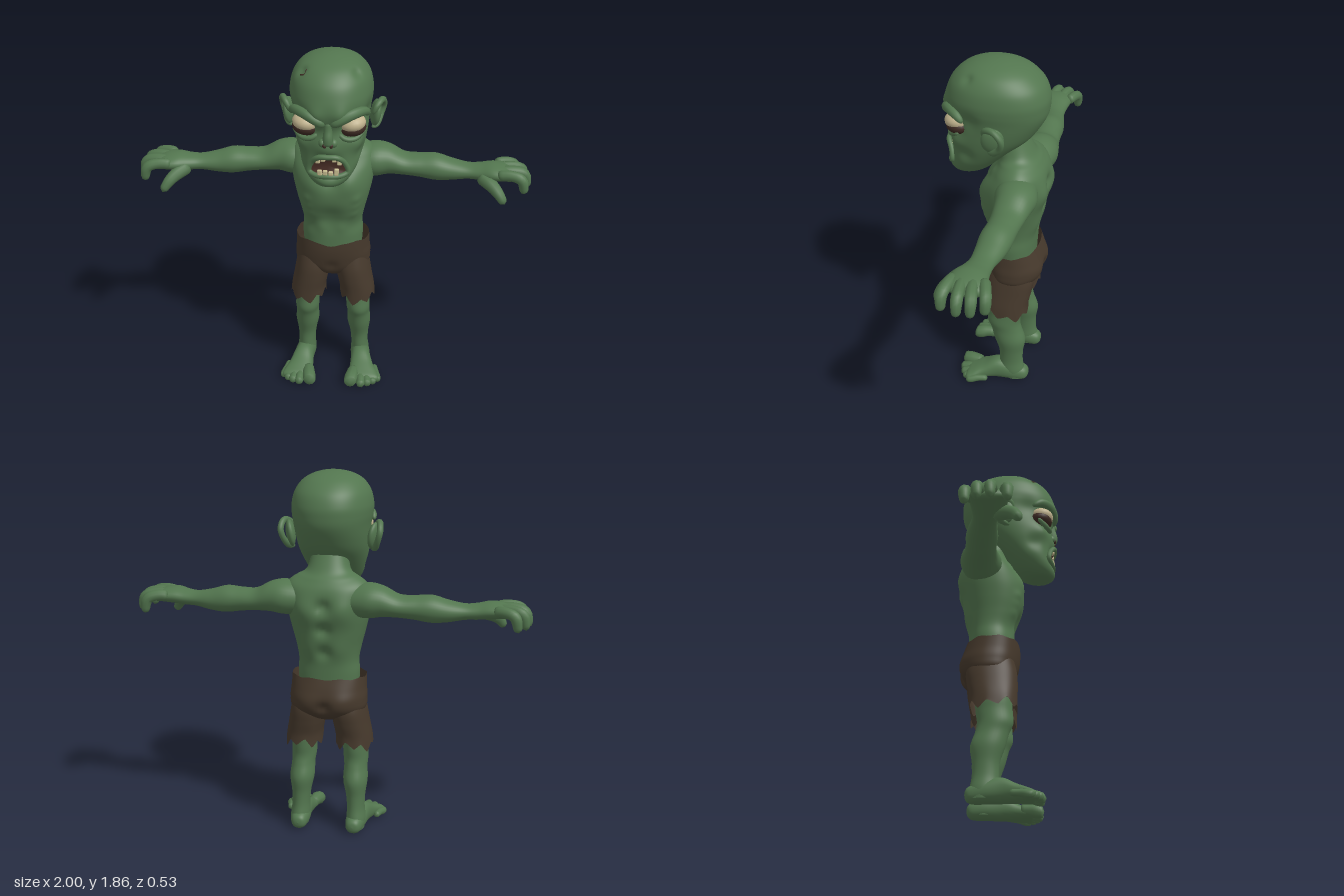
import * as THREE from 'three';
import { mergeVertices } from 'three/addons/utils/BufferGeometryUtils.js';
import { RoundedBoxGeometry } from 'three/addons/geometries/RoundedBoxGeometry.js';

const mat = (name, color, side = THREE.FrontSide) => {
  const m = new THREE.MeshStandardMaterial({ color, side });
  m.name = name;
  return m;
};
const V = (p) => new THREE.Vector3(p[0], p[1], p[2]);

// Smooth interpolation through rows of numbers
function sample(rows, v) {
  const f = v * (rows.length - 1), i = Math.min(Math.floor(f), rows.length - 2), t = f - i;
  const at = (k) => rows[Math.max(0, Math.min(rows.length - 1, k))];
  return rows[0].map((_, c) => {
    const a = at(i - 1)[c], b = at(i)[c], d = at(i + 1)[c], e = at(i + 2)[c];
    return b + 0.5 * t * (d - a + t * (2 * a - 5 * b + 4 * d - e + t * (3 * (b - d) + e - a)));
  });
}

// Oval cross-sections [x, y, z, ra, rb] along an axis; rows run upward along it
const RING = { x: [2, 1], y: [0, 2], z: [1, 0] };
function loft(axis, rows, { nu = 40, nv = 40, e = 1, warp } = {}) {
  const pos = [], idx = [], [A, B] = RING[axis];
  const pw = (s) => Math.sign(s) * Math.abs(s) ** e;
  for (let j = 0; j <= nv; j++) {
    const r = sample(rows, j / nv);
    for (let i = 0; i < nu; i++) {
      const t = (i / nu) * Math.PI * 2, p = r.slice(0, 3);
      p[A] += Math.max(0, r[3]) * pw(Math.cos(t));
      p[B] += Math.max(0, r[4]) * pw(Math.sin(t));
      if (warp) warp(p, j / nv, t);
      pos.push(...p);
      if (j < nv) {
        const a = j * nu + i, b = j * nu + (i + 1) % nu;
        idx.push(a, a + nu, b, b, a + nu, b + nu);
      }
    }
  }
  const g = new THREE.BufferGeometry();
  g.setAttribute('position', new THREE.Float32BufferAttribute(pos, 3));
  g.setIndex(idx);
  g.computeVertexNormals();
  return g;
}

// Round-ended tapered tube through points [x, y, z, radius]
function limb(pts, n = 18, closed = false) {
  const curve = new THREE.CatmullRomCurve3(pts.map(V), closed);
  let g = new THREE.TubeGeometry(curve, n, 1, 10, closed);
  const p = g.attributes.position, q = new THREE.Vector3();
  for (let k = 0; k < p.count; k++) {
    const u = Math.floor(k / 11) / n, c = curve.getPointAt(u);
    const end = closed ? 1 : Math.sqrt(Math.max(0, 1 - Math.max(0, Math.abs(2 * u - 1) - 0.75) ** 2 * 16));
    const r = (closed ? pts[0][3] : sample(pts, u)[3]) * end;
    q.fromBufferAttribute(p, k).sub(c).multiplyScalar(r).add(c);
    p.setXYZ(k, q.x, q.y, q.z);
  }
  g.deleteAttribute('normal');
  g.deleteAttribute('uv');
  g = mergeVertices(g, 1e-5);
  g.computeVertexNormals();
  return g;
}

// Soft push of vertices: [x, y, z, radius, dx, dy, dz], mirrored when x is not 0
function sculpt(g, bumps) {
  const p = g.attributes.position, o = new THREE.Vector3();
  const all = bumps.flatMap((b) => (b[0] ? [b, [-b[0], b[1], b[2], b[3], -b[4], b[5], b[6]]] : [b]));
  for (let k = 0; k < p.count; k++) {
    o.fromBufferAttribute(p, k);
    const d = o.clone();
    for (const b of all) {
      const w = Math.exp(-o.distanceToSquared(V(b)) / (b[3] * b[3]));
      d.add(new THREE.Vector3(b[4], b[5], b[6]).multiplyScalar(w));
    }
    p.setXYZ(k, d.x, d.y, d.z);
  }
  g.computeVertexNormals();
  return g;
}

function ball(x, y, z, sx, sy, sz, rz = 0, ry = 0) {
  return new THREE.SphereGeometry(1, 24, 16).scale(sx, sy, sz).rotateZ(rz).rotateY(ry).translate(x, y, z);
}

function mirrored(g) {
  const m = g.clone().scale(-1, 1, 1), a = m.index.array;
  for (let i = 0; i < a.length; i += 3) [a[i], a[i + 1]] = [a[i + 1], a[i]];
  m.computeVertexNormals();
  return m;
}

export function createModel() {
  const root = new THREE.Group();
  const skin = mat('green skin', 0x53764f), cloth = mat('brown cloth', 0x46392c, THREE.DoubleSide);
  const eyeMat = mat('pale eye', 0xbfb18c), bone = mat('tooth', 0xc2b78c);
  const dark = mat('dark lid', 0x3d2a23), maw = mat('mouth inside', 0x4a2f27, THREE.DoubleSide);
  const add = (name, g, m) => {
    const mesh = new THREE.Mesh(g, m);
    mesh.name = name;
    root.add(mesh);
  };
  const pair = (name, g, m) => {
    add(name + 'Left', g, m);
    add(name + 'Right', mirrored(g), m);
  };

  // Torso and neck
  const torso = loft('y', [[0, .76, -.09, .15, .11], [0, .86, -.09, .157, .115], [0, .93, -.092, .153, .118],
    [0, 1, -.085, .165, .138], [0, 1.08, -.085, .185, .158], [0, 1.16, -.092, .203, .163], [0, 1.24, -.105, .212, .15],
    [0, 1.3, -.12, .2, .125], [0, 1.345, -.115, .145, .105], [0, 1.39, -.095, .105, .09], [0, 1.5, -.05, .09, .085]],
  { nu: 72, nv: 80, e: .9 });
  const ribs = [1.1, 1.055, 1.01].map((y, i) => [.12 - i * .008, y, .03 - i * .012, .024, .004, 0, .01]);
  sculpt(torso, [[.09, 1.19, .05, .065, 0, 0, .018], [0, 1.2, .06, .04, 0, 0, -.014], [0, .99, .05, .07, 0, 0, -.02],
    [.05, .92, .02, .035, 0, 0, .008], [.1, 1.2, -.25, .07, 0, 0, -.022], [0, 1.22, -.26, .035, 0, 0, .025],
    [0, 1.1, -.25, .035, 0, 0, .025], [0, .98, -.22, .035, 0, 0, .018], [.07, 1, -.21, .06, 0, 0, -.01],
    [.15, 1.31, -.13, .07, .01, .02, 0], [.08, 1.3, 0, .03, 0, 0, .012], ...ribs]);
  add('torso', torso, skin);

  // Arms, hands and fingers
  const arm = loft('x', [[.08, 1.24, -.14, .08, .07], [.2, 1.245, -.145, .105, .088], [.28, 1.245, -.15, .092, .077],
    [.36, 1.225, -.145, .08, .057], [.44, 1.22, -.14, .076, .06], [.52, 1.216, -.135, .078, .068],
    [.6, 1.208, -.13, .07, .054], [.68, 1.207, -.12, .06, .039], [.74, 1.21, -.11, .067, .04],
    [.8, 1.217, -.1, .084, .043], [.86, 1.217, -.1, .09, .037], [.9, 1.21, -.1, .08, .026], [.915, 1.205, -.1, 0, 0]],
  { nu: 32, nv: 60 });
  pair('arm', arm, skin);
  for (const [z0, z1, x] of [[-.17, -.205, .955], [-.125, -.15, .99], [-.078, -.09, 1], [-.035, -.015, .98]])
    pair('finger', limb([[.82, 1.222, z0, .027], [x - .09, 1.228, (z0 + z1) / 2, .027],
      [x - .035, 1.21, z1, .027], [x - .016, 1.135, z1, .02]]), skin);
  pair('thumb', limb([[.74, 1.2, -.07, .034], [.8, 1.175, -.015, .034], [.835, 1.145, .02, .028], [.865, 1.1, .04, .02]]), skin);

  // Legs, feet and toes
  pair('leg', loft('y', [[.15, .02, -.13, .045, .065], [.15, .07, -.12, .05, .07], [.147, .13, -.115, .046, .064],
    [.145, .2, -.113, .05, .066], [.142, .28, -.105, .063, .084], [.14, .35, -.085, .06, .083],
    [.138, .4, -.07, .064, .088], [.135, .46, -.075, .064, .09], [.13, .55, -.08, .07, .09], [.1, .76, -.08, .07, .08]],
  { nu: 32, nv: 48 }), skin);
  pair('foot', loft('z', [[.145, .045, -.212, 0, 0], [.145, .045, -.205, .026, .026], [.146, .046, -.18, .043, .042],
    [.15, .056, -.12, .055, .052], [.158, .063, -.04, .062, .054], [.168, .046, .03, .045, .066],
    [.178, .034, .08, .033, .08], [.183, .026, .115, .022, .075], [.183, .024, .13, 0, 0]],
  { nu: 32, nv: 40, e: .9 }), skin);
  for (const [x0, x1, z, r] of [[.125, .112, .17, .036], [.165, .168, .17, .024], [.192, .203, .158, .023],
    [.215, .232, .14, .021], [.235, .257, .115, .02]])
    pair('toe', limb([[x0, r + .012, z - .12, r * .8], [(x0 + x1) / 2, r + .008, z - .06, r * .9],
      [x1, r, z - .025, r], [x1, r, z, r * .9]], 14), skin);

  // Torn shorts: hips and two ragged legs
  const zig = (t, n) => Math.abs(((t * n) / Math.PI / 2 + .3) % 1 - .5) * 2;
  const hips = loft('y', [[0, .6, -.095, .01, .02], [0, .625, -.095, .09, .09], [0, .67, -.1, .185, .13],
    [0, .73, -.1, .197, .146], [0, .79, -.092, .192, .146], [0, .85, -.083, .19, .138]], {
    nu: 72, nv: 28, e: .88,
    warp: (p, v, t) => {
      p[1] -= v ** 6 * (.008 * zig(t, 9) + (p[2] > 0 ? .025 * Math.exp(-((p[0] / .05) ** 2)) : 0));
    },
  });
  sculpt(hips, [[.09, .71, -.24, .07, 0, 0, -.014], [0, .7, -.24, .03, 0, 0, .02], [0, .69, .05, .03, 0, 0, -.012]]);
  add('shortsHips', hips, cloth);
  pair('shortsLeg', loft('y', [[.132, .475, -.08, .094, .118], [.128, .53, -.08, .092, .118], [.115, .6, -.085, .092, .125],
    [.105, .67, -.09, .09, .127], [.1, .75, -.09, .08, .11]], {
    nu: 72, nv: 28, e: .9,
    warp: (p, v, t) => { p[1] += (1 - v) ** 5 * (.04 * zig(t, 8) + .012 * Math.sin(3 * t) - .012); },
  }), cloth);

  // Head with sculpted sockets, cheeks and jaw
  const head = loft('y', [[0, 1.25, .16, 0, 0], [0, 1.254, .16, .055, .05], [0, 1.27, .148, .085, .082],
    [0, 1.3, .13, .112, .108], [0, 1.35, .1, .14, .128], [0, 1.42, .06, .163, .165], [0, 1.48, .03, .176, .2],
    [0, 1.54, .008, .184, .22], [0, 1.6, 0, .191, .243], [0, 1.65, 0, .199, .252], [0, 1.7, -.002, .2, .248],
    [0, 1.76, -.002, .186, .224], [0, 1.81, 0, .152, .175], [0, 1.84, 0, .105, .118], [0, 1.856, 0, .05, .055],
    [0, 1.861, 0, 0, 0]], { nu: 96, nv: 120, e: .93 });
  sculpt(head, [[.105, 1.57, .19, .05, -.01, 0, -.035], [.13, 1.47, .16, .045, .008, 0, .014], [.06, 1.625, .23, .045, 0, 0, .018],
    [0, 1.365, .23, .055, 0, 0, -.045], [0, 1.285, .22, .05, 0, 0, .012], [0, 1.44, .22, .05, 0, 0, .02],
    [.13, 1.41, .12, .04, -.012, 0, -.01], [.19, 1.6, .1, .05, -.012, 0, 0], [-.125, 1.795, .11, .025, .008, -.006, -.008]]);
  add('head', head, skin);
  add('scar', limb([[-.14, 1.785, .122, .004], [-.115, 1.79, .138, .005], [-.105, 1.812, .115, .004]], 10), dark);

  // Eyes, bags, lids and angry brows
  pair('eye', ball(.11, 1.572, .168, .064, .044, .064, .15, .25), eyeMat);
  pair('eyeBag', ball(.11, 1.548, .163, .066, .042, .062, .1, .25), dark);
  pair('lowerLid', limb([[.045, 1.53, .205, .01], [.08, 1.507, .214, .013], [.125, 1.504, .198, .013], [.172, 1.535, .148, .01]]), skin);
  pair('brow', limb([[.012, 1.578, .235, .018], [.05, 1.603, .24, .024], [.11, 1.632, .218, .025], [.165, 1.632, .165, .022],
    [.186, 1.6, .12, .014]], 24), skin);

  // Nose
  add('nose', limb([[0, 1.6, .226, .02], [0, 1.55, .23, .02], [0, 1.51, .236, .024], [0, 1.475, .235, .022]]), skin);
  pair('nostrilWing', ball(.027, 1.488, .222, .019, .022, .024), skin);
  pair('nostril', ball(.017, 1.48, .242, .009, .012, .009, -.35), dark);

  // Open mouth, lips and teeth
  const faceZ = (x) => .1 + .135 * Math.sqrt(1 - (x / .16) ** 2);
  const half = [[0, 1.422], [.045, 1.418], [.078, 1.385], [.094, 1.335], [.06, 1.318], [0, 1.316]];
  const rim = [...half, ...half.slice(1, 5).reverse().map(([x, y]) => [-x, y])]
    .map(([x, y]) => [x, y, faceZ(x) + (y > 1.4 ? .008 : -.002), .013]);
  add('lips', limb(rim, 60, true), skin);
  const loop = new THREE.CatmullRomCurve3(rim.map(V), true).getPoints(40);
  const fan = new THREE.BufferGeometry().setFromPoints([new THREE.Vector3(0, 1.365, .212), ...loop]);
  fan.setIndex(loop.slice(1).flatMap((_, i) => [0, i + 2, i + 1]));
  fan.computeVertexNormals();
  add('mouthInside', fan, maw);
  const tooth = (x, y, h, tilt) => add('tooth', new RoundedBoxGeometry(.023, h, .018, 2, .006)
    .rotateZ(tilt).rotateY(x * 5).translate(x, y, faceZ(x) - .002), bone);
  for (const [x, y, h, t] of [[-.05, 1.4, .034, .1], [-.024, 1.407, .024, 0], [.03, 1.406, .026, 0], [.055, 1.394, .036, -.12],
    [-.04, 1.335, .03, .1], [-.014, 1.337, .026, -.05], [.013, 1.334, .022, 0], [.04, 1.34, .036, -.1]]) tooth(x, y, h, t);

  // Ears
  pair('ear', ball(.212, 1.545, -.03, .024, .068, .055, -.15, .25), skin);
  pair('earRim', limb([[.2, 1.55, .015, .012], [.222, 1.598, .005, .015], [.243, 1.61, -.04, .016], [.25, 1.57, -.08, .016],
    [.236, 1.52, -.072, .015], [.215, 1.482, -.03, .017], [.195, 1.478, 0, .012]], 30), skin);
  return root;
}
